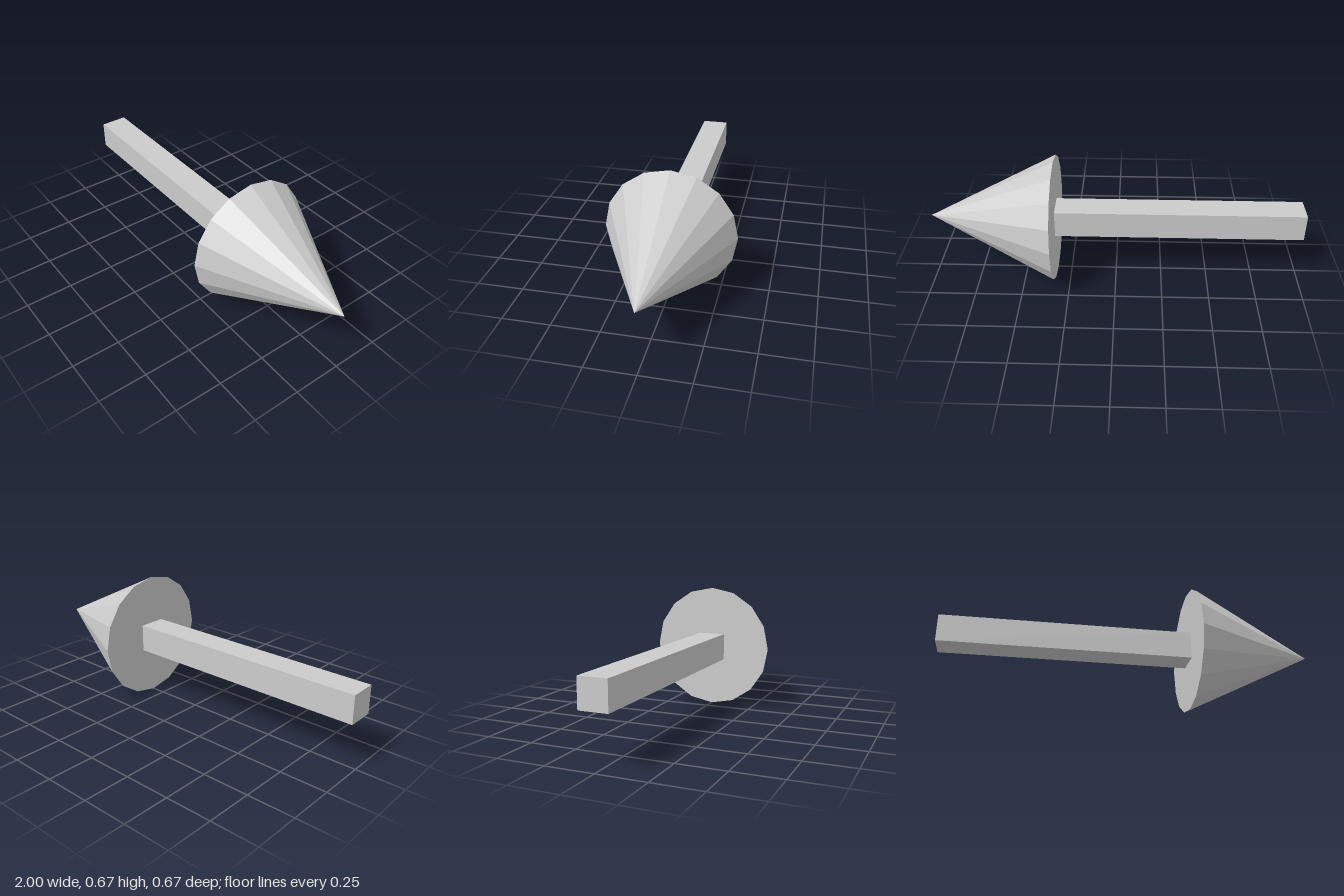
import * as THREE from 'three';

export function createModel() {
  const model = new THREE.Group();
  const material = new THREE.MeshStandardMaterial({ color: 0xcccccc, flatShading: true });

  const radius = 0.337;   // arrowhead base radius, also the axis height
  const baseX = 0.326;    // where the shaft meets the arrowhead
  const thickness = 0.147;

  function addPart(name, geometry, x) {
    const mesh = new THREE.Mesh(geometry, material);
    mesh.name = name;
    mesh.position.set(x, radius, 0);
    model.add(mesh);
  }

  // Square shaft along x
  addPart('shaft', new THREE.BoxGeometry(baseX + 1, thickness, thickness), (baseX - 1) / 2);

  // 16-sided cone pointing to +x
  const head = new THREE.ConeGeometry(radius, 1 - baseX, 16).rotateZ(-Math.PI / 2);
  addPart('arrowhead', head, (baseX + 1) / 2);

  return model;
}
